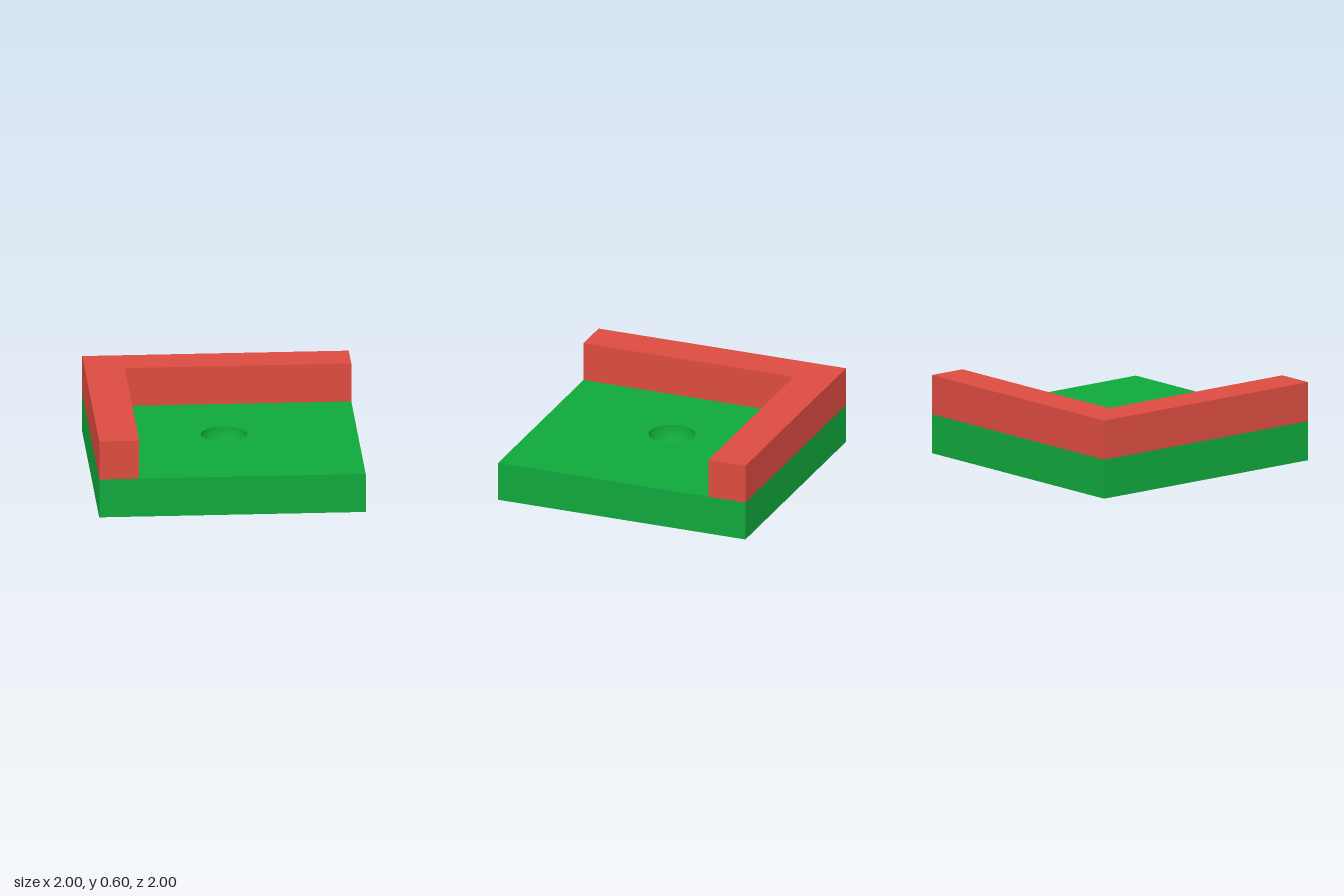
import * as THREE from 'three';
import { mergeGeometries } from 'three/addons/utils/BufferGeometryUtils.js';

const BASE_HEIGHT = 0.3;
const WALL_HEIGHT = 0.3;
const WALL_THICKNESS = 0.3;
const DIMPLE_RADIUS = 0.175;
const SEGMENTS = 48;

function addMesh(group, name, geometry, material) {
  const mesh = new THREE.Mesh(geometry, material);
  mesh.name = name;
  group.add(mesh);
  return mesh;
}

// Square slab whose top face has a round opening
function slabGeometry() {
  const top = new THREE.Shape([[-1, -1], [1, -1], [1, 1], [-1, 1]].map(([x, y]) => new THREE.Vector2(x, y)));
  top.holes.push(new THREE.Path().absarc(0, 0, DIMPLE_RADIUS, 0, Math.PI * 2, true));
  const faces = [
    new THREE.ShapeGeometry(top, SEGMENTS / 2).rotateX(-Math.PI / 2).translate(0, BASE_HEIGHT, 0),
    new THREE.PlaneGeometry(2, 2).rotateX(Math.PI / 2),
  ];
  for (let i = 0; i < 4; i++) {
    faces.push(new THREE.PlaneGeometry(2, BASE_HEIGHT)
      .translate(0, BASE_HEIGHT / 2, 1)
      .rotateY(i * Math.PI / 2));
  }
  return mergeGeometries(faces);
}

// L-shaped wall along the back and right edges
function wallGeometry() {
  const inner = 1 - WALL_THICKNESS;
  const outline = [[-1, -1], [-inner, -1], [-inner, inner], [1, inner], [1, 1], [-1, 1]];
  const shape = new THREE.Shape(outline.map(([x, y]) => new THREE.Vector2(x, y)));
  return new THREE.ExtrudeGeometry(shape, { depth: WALL_HEIGHT, bevelEnabled: false })
    .rotateX(-Math.PI / 2)
    .translate(0, BASE_HEIGHT, 0);
}

export function createModel() {
  const model = new THREE.Group();
  model.name = 'corneredTile';
  const green = new THREE.MeshStandardMaterial({ color: 0x10a83c });
  const red = new THREE.MeshStandardMaterial({ color: 0xdc4c40 });
  const greenInside = new THREE.MeshStandardMaterial({ color: 0x10a83c, flatShading: true, side: THREE.DoubleSide });

  addMesh(model, 'baseSlab', slabGeometry(), green);
  addMesh(model, 'cornerWall', wallGeometry(), red);

  // Hemispherical dimple sunk into the slab
  const dimple = new THREE.SphereGeometry(DIMPLE_RADIUS, SEGMENTS, 12, 0, Math.PI * 2, Math.PI / 2, Math.PI / 2);
  addMesh(model, 'dimple', dimple, greenInside).position.y = BASE_HEIGHT;

  return model;
}
